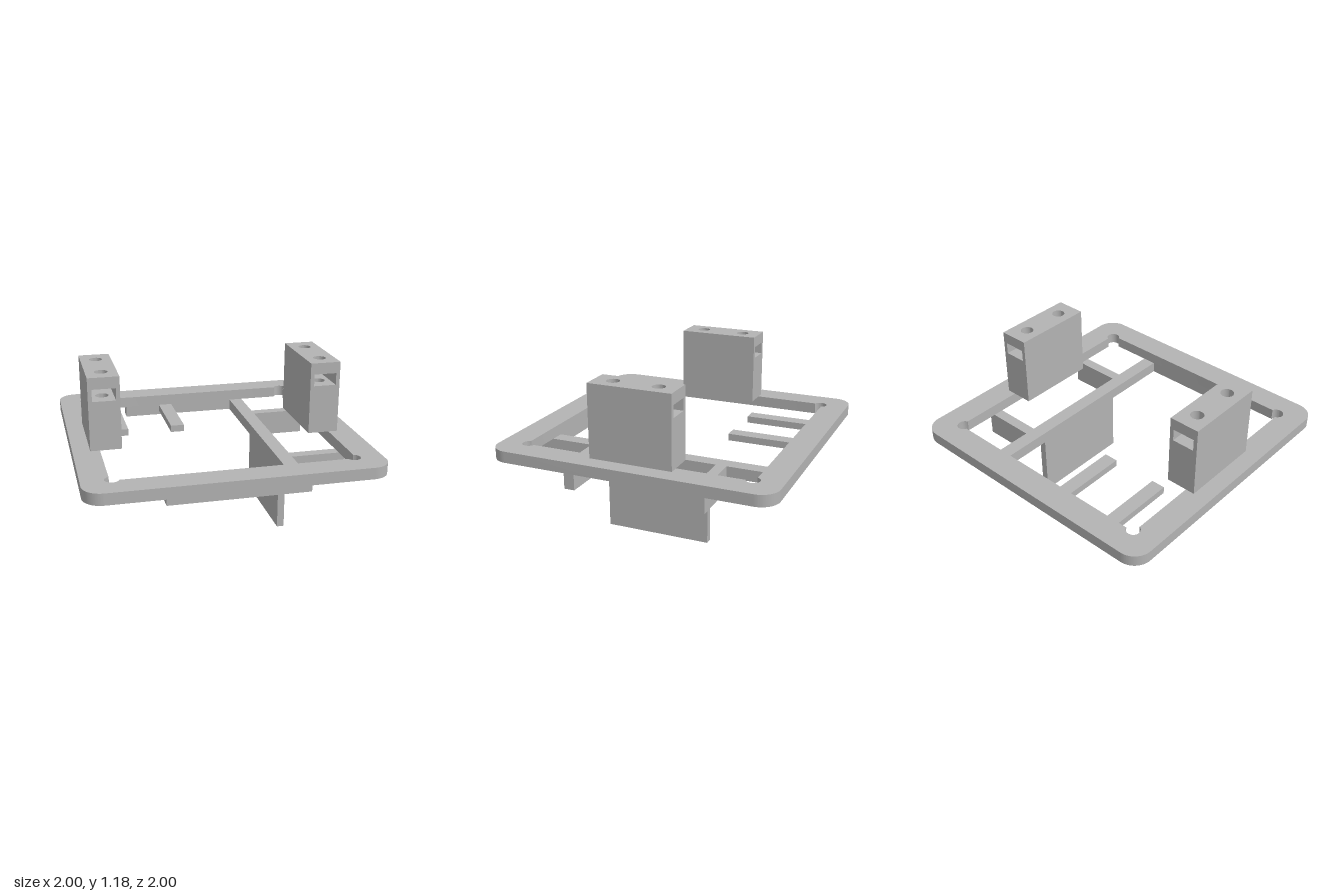
import * as THREE from 'three';
import { toCreasedNormals } from 'three/addons/utils/BufferGeometryUtils.js';

const grey = new THREE.MeshStandardMaterial({ color: 0xb3b3b3 });
grey.name = 'grey plastic';

const add = (group, name, geometry) => {
  const mesh = new THREE.Mesh(geometry, grey);
  mesh.name = name;
  group.add(mesh);
};

// Box given by its limits on each axis
function box(group, name, x0, x1, y0, y1, z0, z1) {
  const g = new THREE.BoxGeometry(x1 - x0, y1 - y0, z1 - z0);
  g.translate((x0 + x1) / 2, (y0 + y1) / 2, (z0 + z1) / 2);
  add(group, name, g);
}

// Plan shape (x, -z) raised from y0 to y1
function slab(group, name, shape, y0, y1) {
  const g = new THREE.ExtrudeGeometry(shape, { depth: y1 - y0, bevelEnabled: false, curveSegments: 16 });
  g.rotateX(-Math.PI / 2).translate(0, y0, 0);
  add(group, name, toCreasedNormals(g, 0.6));
}

// Square ring with rounded corners and a round relief in each inner corner
function frameShape() {
  const shape = new THREE.Shape();
  const hole = new THREE.Path();
  const rad = THREE.MathUtils.degToRad;
  for (let i = 0; i < 4; i++) {
    const turn = i * 90;
    const sx = i === 0 || i === 3 ? 1 : -1;
    const sy = i < 2 ? 1 : -1;
    const arc = (path, c, r, a, b) => path.absarc(sx * c, sy * c, r, rad(a + turn), rad(b + turn), false);
    arc(shape, 0.87, 0.13, 0, 90);
    arc(hole, 0.745, 0.07, 0, 8.4);
    arc(hole, 0.8, 0.047, -72.6, 162.6);
    arc(hole, 0.745, 0.07, 81.6, 90);
  }
  shape.closePath();
  hole.closePath();
  shape.holes.push(hole);
  return shape;
}

// Upright block with a slot along z and two screw holes from the top
function mountBlock(name, cx) {
  const group = new THREE.Group();
  group.name = name;
  const w = 0.1075, d = 0.2925;
  const plan = new THREE.Shape([
    new THREE.Vector2(-w, -d), new THREE.Vector2(w, -d),
    new THREE.Vector2(w, d), new THREE.Vector2(-w, d),
  ]);
  for (const z of [-0.16, 0.16]) {
    plan.holes.push(new THREE.Path().absarc(0, z, 0.045, 0, Math.PI * 2, true));
  }
  box(group, 'blockBase', -w, w, 0.67, 0.76, -d, d);
  slab(group, 'blockBody', plan, 0.76, 1.015);
  for (const s of [-1, 1]) {
    box(group, 'slotWall', Math.min(s * 0.08, s * w), Math.max(s * 0.08, s * w), 1.015, 1.1, -d, d);
  }
  slab(group, 'blockTop', plan, 1.1, 1.18);
  group.position.x = cx;
  return group;
}

export function createModel() {
  const model = new THREE.Group();
  model.name = 'mountingFrame';

  slab(model, 'frame', frameShape(), 0.59, 0.67);
  model.add(mountBlock('leftBlock', 0.7725), mountBlock('rightBlock', -0.7725));

  // Long rail and the vertical plate below it
  box(model, 'rail', 0.375, 0.475, 0.51, 0.59, -0.92, 0.92);
  box(model, 'verticalPlate', 0.425, 0.475, 0, 0.51, -0.375, 0.375);

  for (const s of [-1, 1]) {
    // Strips under the front and back of the frame
    box(model, 'edgeStrip', -0.48, 0.375, 0.51, 0.59, s * 0.8685 - 0.0515, s * 0.8685 + 0.0515);
    // Cross ribs from the rail to the side of the frame
    box(model, 'crossRib', 0.475, 0.86, 0.41, 0.59, s * 0.468 - 0.038, s * 0.468 + 0.038);
  }

  // Two free fingers reaching in from the back
  for (const x of [-0.59, -0.165]) {
    box(model, 'finger', x - 0.05, x + 0.05, 0.54, 0.59, -0.92, -0.3);
  }
  return model;
}
